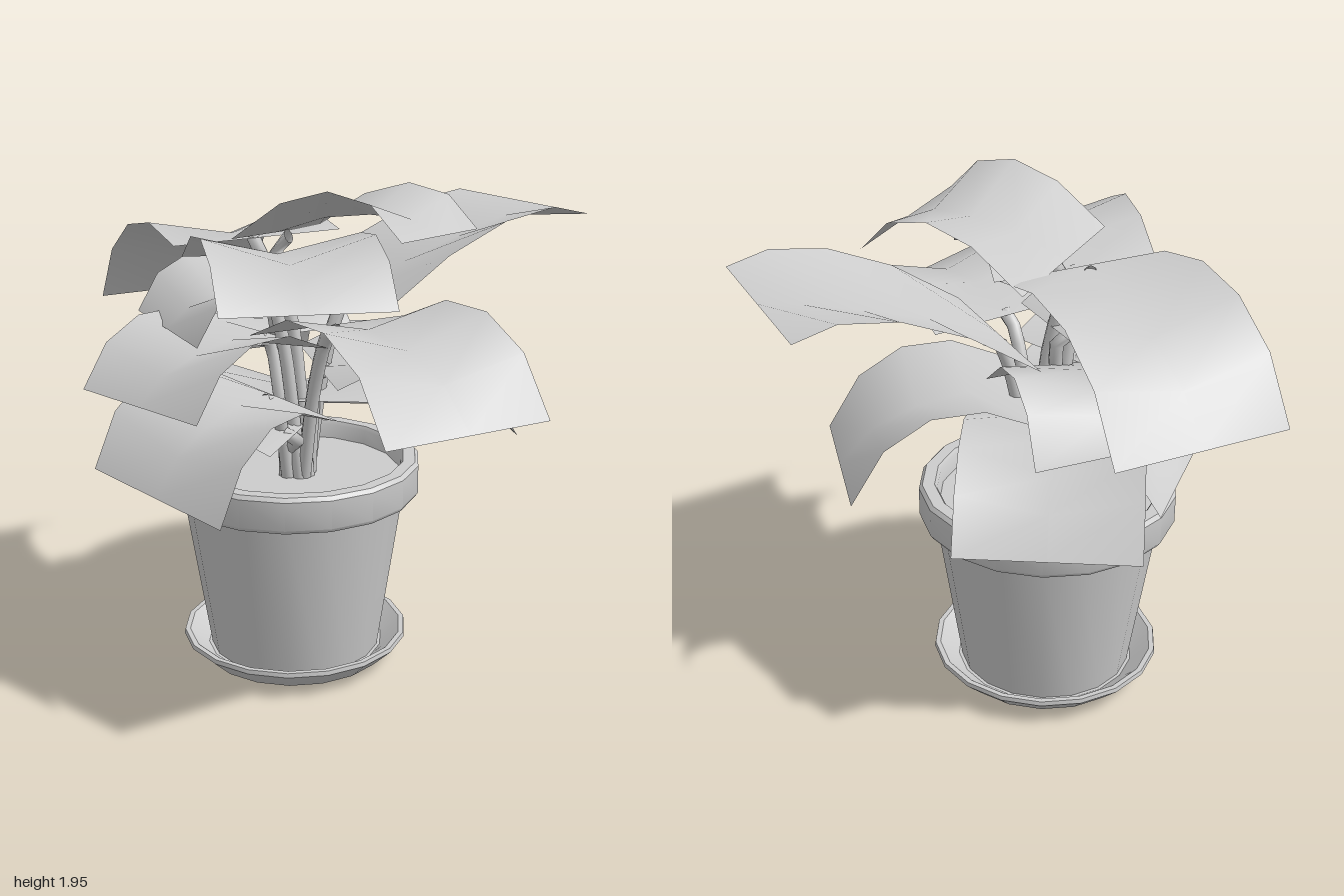
import * as THREE from 'three';
import { toCreasedNormals } from 'three/addons/utils/BufferGeometryUtils.js';

const material = new THREE.MeshStandardMaterial({ color: 0xcccccc, side: THREE.DoubleSide });
const POT = { x: -0.135, z: -0.145 };
const ROWS = 4;

function addMesh(parent, name, geometry) {
  const mesh = new THREE.Mesh(geometry, material);
  mesh.name = name;
  parent.add(mesh);
  return mesh;
}

// Round part turned from a radius/height profile
function addTurned(parent, name, profile) {
  const lathe = new THREE.LatheGeometry(profile.map(([r, y]) => new THREE.Vector2(r, y)), 18);
  const mesh = addMesh(parent, name, toCreasedNormals(lathe, 0.6));
  mesh.rotation.y = Math.PI / 2;
  mesh.position.set(POT.x, 0, POT.z);
}

// Sheet arched through base, middle and tip heights, its midline sagging into a V;
// it grows along +z and roll raises its +x side
function leafGeometry(width, length, base, middle, tip, roll) {
  const geometry = new THREE.PlaneGeometry(2, 1, 2, ROWS);
  const p = geometry.attributes.position;
  for (let i = 0; i < p.count; i++) {
    const side = p.getX(i);
    const t = 0.5 - p.getY(i);
    const arch = base * (1 - t) * (1 - 2 * t) + middle * 4 * t * (1 - t) + tip * t * (2 * t - 1);
    const sag = 0.1 * Math.sin(Math.PI * t) * (1 - Math.abs(side));
    p.setXYZ(i, (side * width) / 2, arch - sag + roll * side, length * (1 - (1 - t) ** 1.25));
  }
  geometry.computeVertexNormals();
  return geometry;
}

// Stem rising from the soil and bending into the base of its leaf
function stemGeometry(x, z, angle, height) {
  const dx = Math.sin(angle) * 0.05;
  const dz = Math.cos(angle) * 0.05;
  const root = new THREE.Vector3(POT.x + dx, 0.76, POT.z + 0.03 + dz);
  const top = new THREE.Vector3(x, height - 0.03, z);
  const bend = root.clone().lerp(top, 0.45).setY(0.76 + (height - 0.76) * 0.6);
  const end = new THREE.Vector3(x + dx, height - 0.01, z + dz);
  return new THREE.TubeGeometry(new THREE.CatmullRomCurve3([root, bend, top, end]), 10, 0.027, 8);
}

// Each leaf: name, base x, base z, heading in degrees from the front, width, length,
// heights at base, middle and tip, optional roll
const UPPER = [
  ['upperBack', -0.25, -0.18, 180, 0.68, 0.82, 1.7, 1.7, 1.34],
  ['topFrontLeft', -0.19, -0.15, 33.5, 0.63, 0.67, 1.72, 1.92, 1.77, -0.03],
  ['upperFrontRight', -0.26, -0.11, -12, 0.62, 0.65, 1.65, 1.79, 1.58, -0.01],
  ['upperLeft', 0.05, -0.09, 90, 0.67, 0.89, 1.46, 1.745, 1.74, -0.015],
];
const MIDDLE = [
  ['middleFront', -0.12, 0.13, 5, 0.67, 0.85, 1.42, 1.54, 1.24, -0.01],
  ['middleRight', -0.14, -0.2, -91, 0.61, 0.48, 1.47, 1.59, 1.39],
  ['middleFarRight', -0.22, -0.17, -71, 0.62, 0.65, 1.33, 1.42, 1.19],
  ['middleBack', -0.19, -0.17, 177, 0.64, 0.43, 1.32, 1.43, 1.15],
];
const LOWER = [
  ['lowerLeft', -0.06, -0.08, 76, 0.64, 0.7, 1.2, 1.28, 0.97],
  ['lowerRight', -0.27, -0.03, -70, 0.66, 0.6, 1.13, 1.19, 0.89, -0.03],
  ['lowerBackLeft', -0.2, -0.09, 149, 0.67, 0.7, 1.08, 1.13, 0.85],
  ['lowerBackRight', -0.19, 0, -136, 0.58, 0.55, 0.98, 1.05, 0.84],
];

function addShoot(parent, [name, x, z, degrees, width, length, base, middle, tip, roll = 0]) {
  const angle = THREE.MathUtils.degToRad(degrees);
  const leaf = addMesh(parent, name + 'Leaf', leafGeometry(width, length, base, middle, tip, roll));
  leaf.position.set(x, 0, z);
  leaf.rotation.y = angle;
  addMesh(parent, name + 'Stem', stemGeometry(x, z, angle, base));
}

export function createModel() {
  const model = new THREE.Group();
  model.name = 'pottedPlant';

  addTurned(model, 'saucer', [[0, 0], [0.32, 0], [0.37, 0.02], [0.448, 0.095], [0.445, 0.112],
    [0.425, 0.112], [0.35, 0.05], [0, 0.05]]);
  addTurned(model, 'pot', [[0, 0.05], [0.337, 0.05], [0.435, 0.7], [0.485, 0.7], [0.495, 0.715],
    [0.495, 0.825], [0.482, 0.84], [0.435, 0.84], [0.425, 0.825], [0.415, 0.76]]);
  addTurned(model, 'soil', [[0.42, 0.77], [0, 0.77]]);

  for (const tier of [UPPER, MIDDLE, LOWER]) {
    tier.forEach((shoot) => addShoot(model, shoot));
  }
  return model;
}
